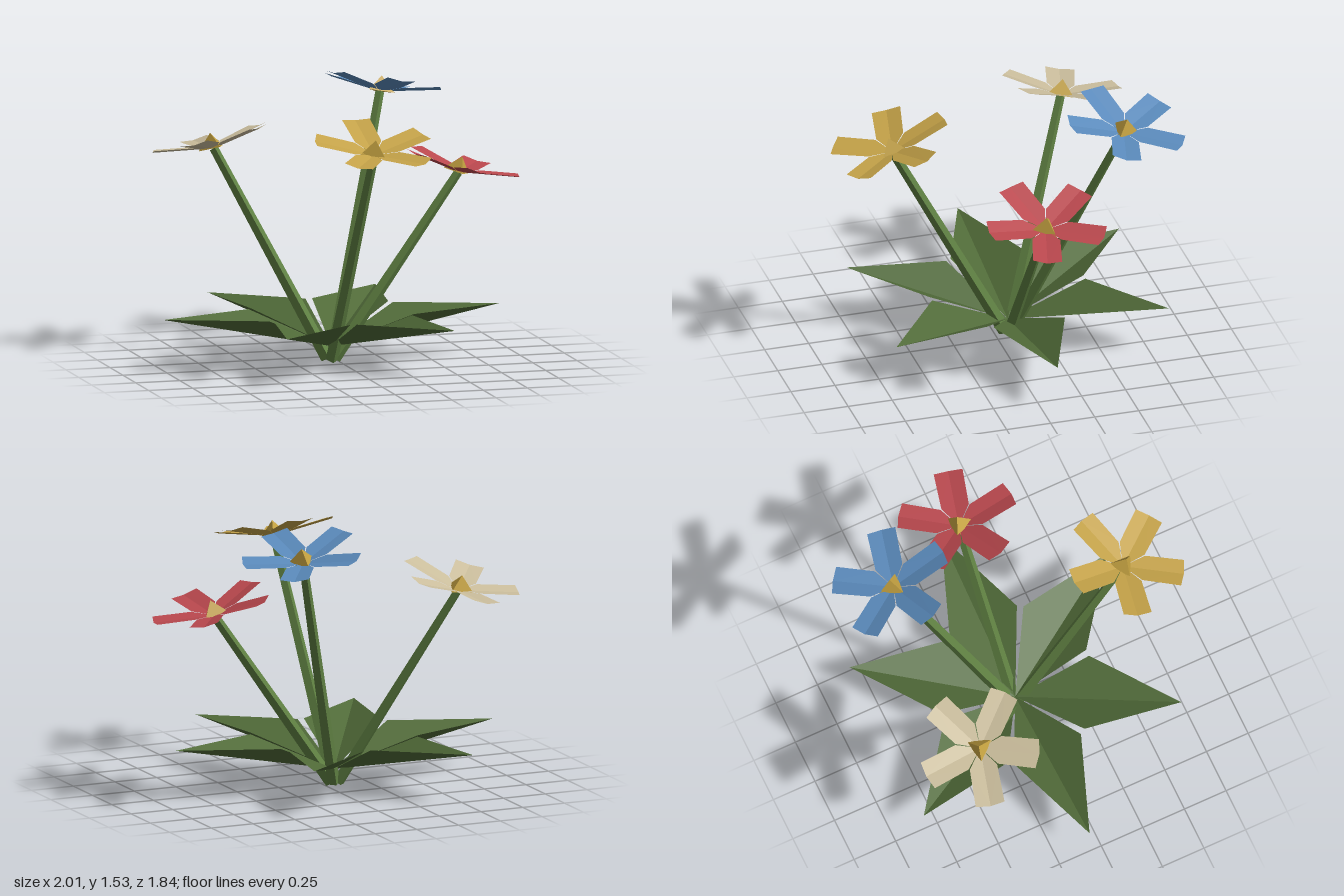
import * as THREE from 'three';

const UP = new THREE.Vector3(0, 1, 0);
const ROOT = new THREE.Vector3(-0.05, 0.02, -0.07);

const paint = (color) => new THREE.MeshStandardMaterial({ color, flatShading: true, side: THREE.DoubleSide });

function named(mesh, name) {
  mesh.name = name;
  return mesh;
}

// Flat-faced geometry from a list of corner triples
function facets(points, faces) {
  const g = new THREE.BufferGeometry();
  g.setAttribute('position', new THREE.Float32BufferAttribute(faces.flat().flatMap((i) => points[i]), 3));
  g.computeVertexNormals();
  return g;
}

// Kite-shaped leaf along +x, folded down along its straight midrib
function leafGeometry(length) {
  const rise = 0.19;
  return facets(
    [[0, 0, 0], [0.41, rise, 0.215], [length, rise, 0], [0.41, rise, -0.215]],
    [[0, 1, 2], [0, 2, 3]]
  );
}

// Square-ended petal along +x, with a shallow fold down the middle
function petalGeometry() {
  return facets(
    [[0, 0, 0], [0.11, 0.03, 0.076], [0.32, 0.065, 0.08], [0.33, 0.055, 0], [0.32, 0.065, -0.08], [0.11, 0.03, -0.076]],
    [[0, 1, 3], [1, 2, 3], [0, 3, 5], [3, 4, 5]]
  );
}

// Tapered square stem between two points
function stem(from, to, material) {
  const dir = to.clone().sub(from);
  const mesh = new THREE.Mesh(new THREE.CylinderGeometry(0.025, 0.036, dir.length(), 4), material);
  mesh.position.copy(from).addScaledVector(dir, 0.5);
  mesh.quaternion.setFromUnitVectors(UP, dir.normalize());
  return named(mesh, 'stem');
}

// Five petals round a three-sided centre, leaning outward
function bloom({ at, lean, color, spin, centreSpin }, centreMaterial) {
  const g = named(new THREE.Group(), 'bloom');
  const material = paint(color);
  const petal = petalGeometry();
  for (let i = 0; i < 5; i++) {
    const mesh = named(new THREE.Mesh(petal, material), 'petal');
    mesh.rotation.y = THREE.MathUtils.degToRad(spin + i * 72);
    g.add(mesh);
  }
  const centre = named(new THREE.Mesh(new THREE.ConeGeometry(0.085, 0.085, 3), centreMaterial), 'flowerCentre');
  centre.position.y = 0.045;
  // the cone's first corner points to +z
  centre.rotation.y = THREE.MathUtils.degToRad(centreSpin + 90);
  g.add(centre);
  g.position.set(...at);
  g.quaternion.setFromUnitVectors(UP, new THREE.Vector3(lean[0], 1, lean[1]).normalize());
  return g;
}

export function createModel() {
  const model = named(new THREE.Group(), 'flowerPlant');
  const leafMaterial = paint(0x506a38);
  const stemMaterial = paint(0x5f8042);
  const centreMaterial = paint(0xc2a040);

  // Rosette of six leaves
  const rosette = named(new THREE.Group(), 'leafRosette');
  const leaf = leafGeometry(0.95);
  for (let i = 0; i < 6; i++) {
    const mesh = named(new THREE.Mesh(leaf, leafMaterial), 'leaf');
    mesh.rotation.y = (i * Math.PI) / 3;
    rosette.add(mesh);
  }
  rosette.position.set(ROOT.x, 0.09, ROOT.z);
  rosette.scale.z = 0.94;
  model.add(rosette);

  // Four flowers on leaning stems
  const flowers = [
    { name: 'yellowFlower', at: [0.0, 1.255, 0.6], lean: [0.02, 0.28], color: 0xc4a248, spin: 94, centreSpin: 63 },
    { name: 'blueFlower', at: [0.38, 1.385, -0.6], lean: [0.2, -0.18], color: 0x5a8abb, spin: 57, centreSpin: 87 },
    { name: 'creamFlower', at: [-0.58, 1.13, -0.53], lean: [-0.2, -0.19], color: 0xcabd9c, spin: 93, centreSpin: -80 },
    { name: 'redFlower', at: [0.67, 1.015, -0.07], lean: [0.27, 0], color: 0xba484e, spin: 57, centreSpin: -90 },
  ];
  for (const f of flowers) {
    const flower = named(new THREE.Group(), f.name);
    const top = new THREE.Vector3(...f.at);
    const foot = ROOT.clone().add(new THREE.Vector3(f.at[0], 0, f.at[2]).multiplyScalar(0.03));
    flower.add(stem(foot, top, stemMaterial), bloom(f, centreMaterial));
    model.add(flower);
  }
  return model;
}
